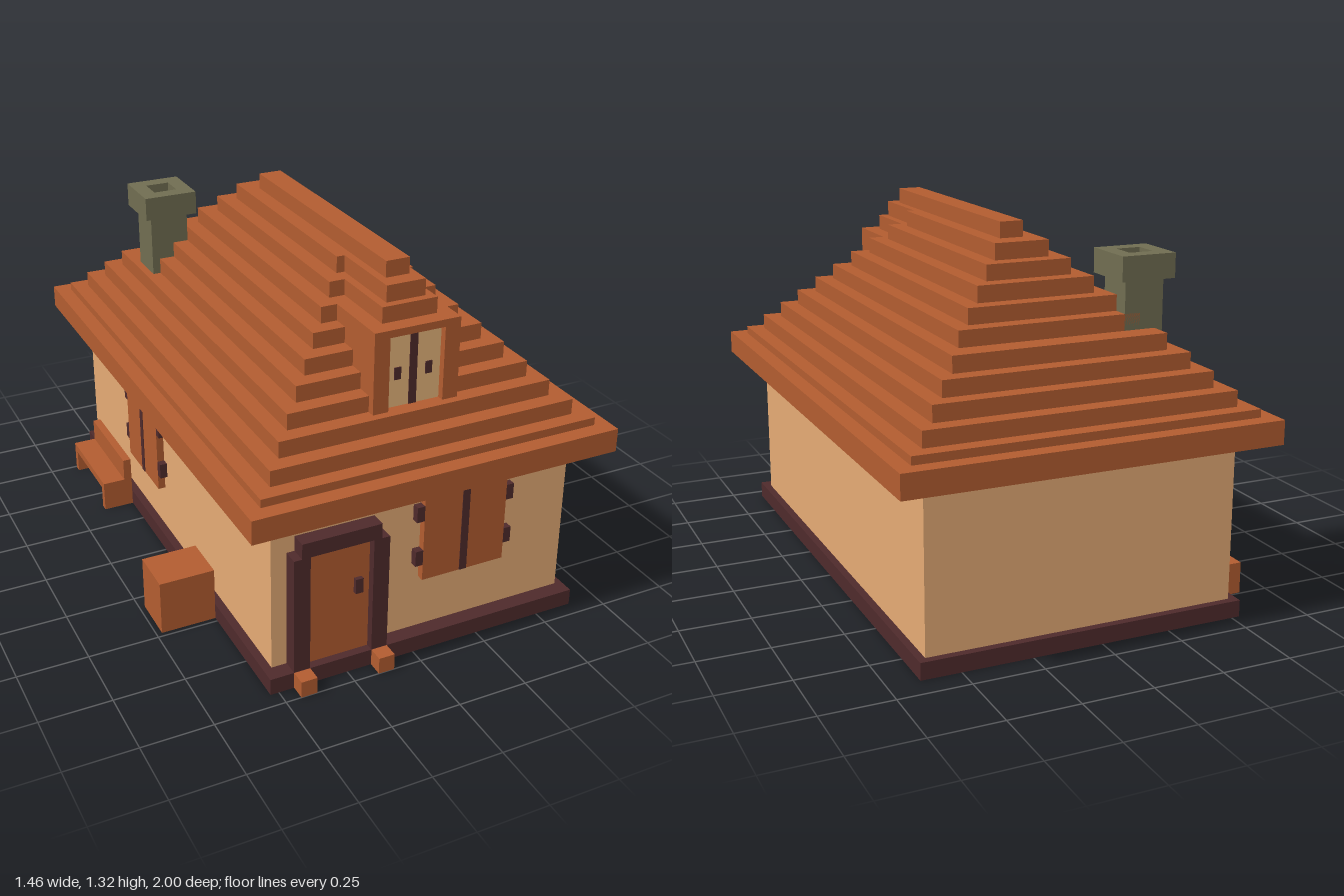
import * as THREE from 'three';

const mat = (name, hex) => {
  const m = new THREE.MeshStandardMaterial({ color: hex });
  m.name = name;
  return m;
};

export function createModel() {
  const model = new THREE.Group();
  model.name = 'house';
  const brown = mat('brown wood', 0xb25c30);
  const tan = mat('plaster', 0xe4aa74);
  const pale = mat('pale wood', 0xe9b67c);
  const dark = mat('dark wood', 0x4e2a2b);
  const stone = mat('green stone', 0x706d51);
  const black = mat('underside', 0x3e3e3e);

  const group = (name, parent = model) => {
    const g = new THREE.Group();
    g.name = name;
    parent.add(g);
    return g;
  };
  // Box given by its bounds on each axis
  const box = (name, material, [x0, x1], [y0, y1], [z0, z1], parent = model) => {
    const mesh = new THREE.Mesh(new THREE.BoxGeometry(x1 - x0, y1 - y0, z1 - z0), material);
    mesh.position.set((x0 + x1) / 2, (y0 + y1) / 2, (z0 + z1) / 2);
    mesh.name = name;
    parent.add(mesh);
  };

  // Base with a dark underside, and walls
  box('base', [dark, dark, dark, black, dark, dark], [-0.53, 0.64], [0, 0.06], [-0.915, 0.945]);
  box('walls', tan, [-0.5, 0.613], [0.06, 0.63], [-0.888, 0.888]);

  // Stepped roof: bottom height, half width, back z, front z
  const cx = 0.057;
  const roof = group('roof');
  const layers = [
    [0.63, 0.67, -1, 1],
    [0.715, 0.614, -0.943, 0.943],
    [0.744, 0.557, -0.888, 0.888],
    [0.8, 0.5, -0.829, 0.829],
    [0.858, 0.444, -0.772, 0.772],
    [0.915, 0.386, -0.714, 0.714],
    [0.973, 0.329, -0.63, 0.658],
    [1.03, 0.271, -0.572, 0.6],
    [1.086, 0.214, -0.515, 0.543],
    [1.144, 0.156, -0.458, 0.486],
    [1.2, 0.1, -0.4, 0.428],
    [1.258, 0.043, -0.315, 0.657],
    [1.315],
  ];
  for (let i = 0; i < layers.length - 1; i++) {
    const [y, hw, z0, z1] = layers[i];
    box('roofStep', brown, [cx - hw, cx + hw], [y, layers[i + 1][0]], [z0, z1], roof);
  }

  // Dormer: frame, stepped top, shutters set back in the opening
  const dormer = group('dormer');
  for (const s of [-1, 1]) {
    const xs = [cx + s * 0.1, cx + s * 0.156].sort((a, b) => a - b);
    box('dormerSide', brown, xs, [0.858, 1.144], [0.5, 0.8], dormer);
    box('dormerHandle', dark, [cx + s * 0.057 - 0.012, cx + s * 0.057 + 0.012], [0.955, 0.998], [0.773, 0.779], dormer);
  }
  box('dormerHeader', brown, [cx - 0.1, cx + 0.1], [1.118, 1.144], [0.5, 0.8], dormer);
  box('dormerShutters', pale, [cx - 0.1, cx + 0.1], [0.858, 1.118], [0.765, 0.775], dormer);
  box('dormerStrip', dark, [cx - 0.014, cx + 0.014], [0.858, 1.118], [0.771, 0.778], dormer);
  box('dormerStep', brown, [cx - 0.1, cx + 0.1], [1.144, 1.2], [0.48, 0.743], dormer);
  box('dormerStep', brown, [cx - 0.071, cx + 0.071], [1.2, 1.258], [0.42, 0.715], dormer);

  // Chimney with a hollow cap
  const chimney = group('chimney');
  box('chimneyShaft', stone, [-0.358, -0.214], [0.87, 1.144], [-0.63, -0.487], chimney);
  const square = (P, r) =>
    new P([[-r, -r], [r, -r], [r, r], [-r, r]].map(([x, y]) => new THREE.Vector2(x, y)));
  const capShape = square(THREE.Shape, 0.1);
  capShape.holes.push(square(THREE.Path, 0.044));
  const cap = new THREE.Mesh(new THREE.ExtrudeGeometry(capShape, { depth: 0.086, bevelEnabled: false }), stone);
  cap.rotation.x = -Math.PI / 2;
  cap.position.set(-0.286, 1.144, -0.558);
  cap.name = 'chimneyCap';
  chimney.add(cap);

  // Door with frame and small feet in front of the posts
  const door = group('door');
  box('doorPanel', brown, [-0.388, -0.16], [0.06, 0.49], [0.88, 0.915], door);
  for (const x of [-0.445, -0.16]) {
    box('doorPost', dark, [x, x + 0.058], [0.06, 0.49], [0.88, 0.944], door);
    box('doorFoot', brown, [x, x + 0.058], [0, 0.06], [0.945, 1], door);
  }
  box('doorLintel', dark, [-0.417, -0.132], [0.49, 0.545], [0.88, 0.944], door);
  box('doorHandle', dark, [-0.216, -0.188], [0.29, 0.345], [0.91, 0.93], door);

  // Shuttered window built facing +z around its lower centre, then placed
  const shutters = (name) => {
    const g = group(name);
    box('shutterPanel', brown, [-0.157, 0.157], [0, 0.313], [-0.01, 0.027], g);
    box('shutterStrip', dark, [-0.014, 0.014], [0, 0.313], [0.022, 0.029], g);
    for (const s of [-1, 1]) {
      for (const y of [0.06, 0.23]) {
        const xs = [s * 0.157, s * 0.185].sort((a, b) => a - b);
        box('hinge', dark, xs, [y, y + 0.057], [-0.01, 0.027], g);
      }
    }
    return g;
  };
  shutters('frontWindow').position.set(0.199, 0.26, 0.888);
  const side = shutters('sideWindow');
  side.position.set(-0.5, 0.231, -0.22);
  side.rotation.y = -Math.PI / 2;

  // Bench and crate along the right wall
  const bench = group('bench');
  box('benchSeat', brown, [-0.645, -0.53], [0.086, 0.115], [-0.744, -0.373], bench);
  box('benchBack', brown, [-0.56, -0.53], [0.115, 0.2], [-0.744, -0.373], bench);
  for (const z of [-0.744, -0.402]) {
    box('benchLeg', brown, [-0.645, -0.53], [0, 0.086], [z, z + 0.029], bench);
  }
  box('crate', brown, [-0.73, -0.53], [0, 0.2], [0.31, 0.482]);

  return model;
}
